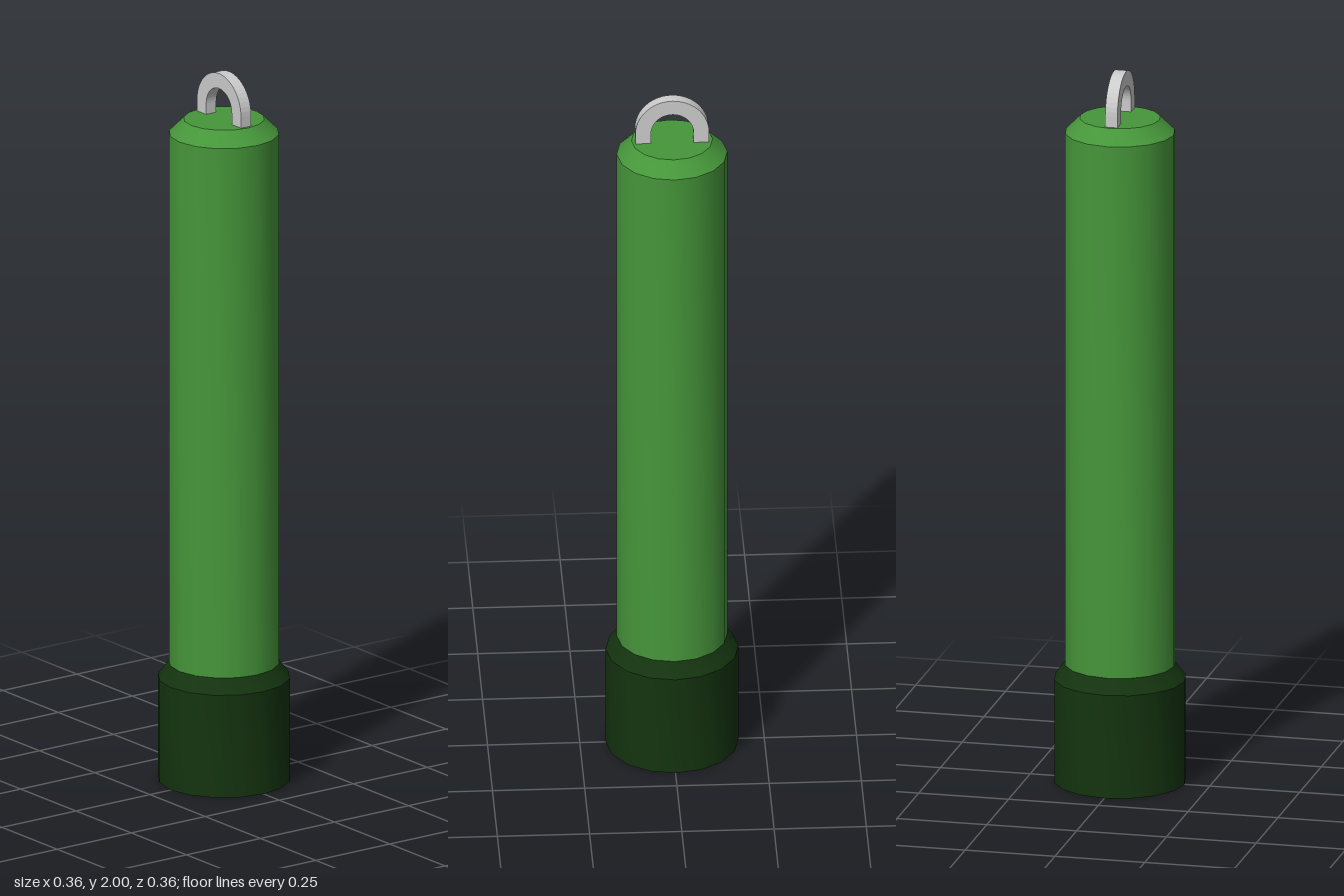
import * as THREE from 'three';
import { toCreasedNormals } from 'three/addons/utils/BufferGeometryUtils.js';

// Sixteen-sided turned part: smooth around, sharp at the bevels
function turned(name, profile, color) {
  const points = profile.map(([r, y]) => new THREE.Vector2(r, y));
  const geometry = toCreasedNormals(new THREE.LatheGeometry(points, 16), 0.6);
  const mesh = new THREE.Mesh(geometry, new THREE.MeshStandardMaterial({ color }));
  mesh.name = name;
  return mesh;
}

// Flat arch with two short straight legs
function hangingLoop() {
  const outer = 0.1, inner = 0.058, bottom = 1.86, centre = 1.9, depth = 0.034;
  const shape = new THREE.Shape();
  shape.moveTo(outer, bottom);
  shape.lineTo(outer, centre);
  shape.absarc(0, centre, outer, 0, Math.PI, false);
  shape.lineTo(-outer, bottom);
  shape.lineTo(-inner, bottom);
  shape.lineTo(-inner, centre);
  shape.absarc(0, centre, inner, Math.PI, 0, true);
  shape.lineTo(inner, bottom);
  shape.closePath();
  const geometry = new THREE.ExtrudeGeometry(shape, { depth, bevelEnabled: false, curveSegments: 12 });
  geometry.translate(0, 0, -depth / 2);
  const mesh = new THREE.Mesh(geometry, new THREE.MeshStandardMaterial({ color: 0xcccccc, flatShading: true }));
  mesh.name = 'hangingLoop';
  return mesh;
}

export function createModel() {
  const model = new THREE.Group();
  model.name = 'lightStick';
  model.add(
    // Dark base cap with a bevelled shoulder
    turned('baseCap', [[0, 0], [0.18, 0], [0.18, 0.29], [0.15, 0.33], [0, 0.33]], 0x14330f),
    // Long tube with a bevelled top
    turned('tube', [[0, 0.3], [0.15, 0.3], [0.15, 1.83], [0.11, 1.87], [0, 1.87]], 0x46963a),
    hangingLoop()
  );
  return model;
}
